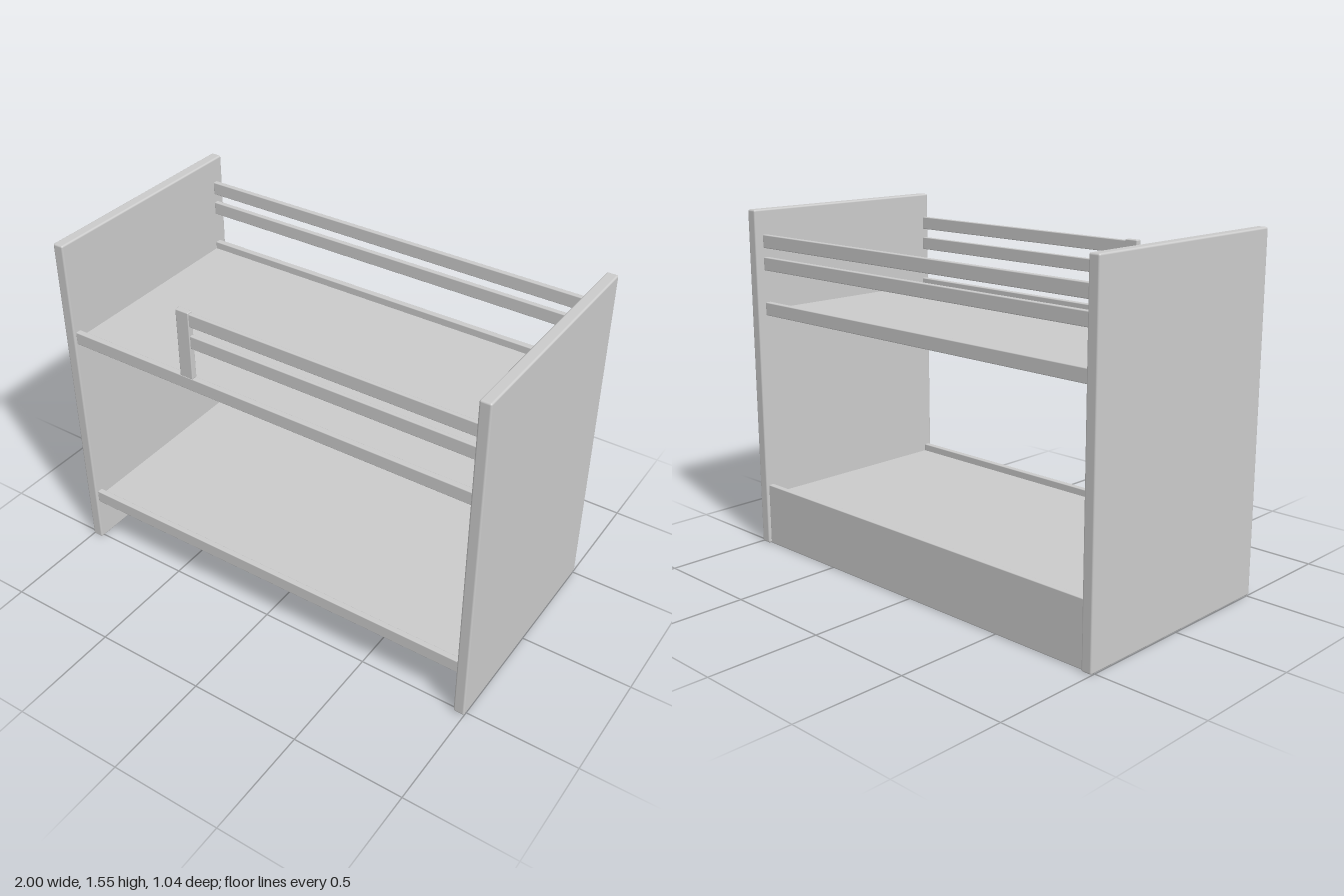
import * as THREE from 'three';
import { RoundedBoxGeometry } from 'three/addons/geometries/RoundedBoxGeometry.js';

const material = new THREE.MeshStandardMaterial({ color: 0xcccccc });

// A board with slightly eased edges, given by its extents on each axis
function board(name, [x0, x1], [y0, y1], [z0, z1], radius = 0.004) {
  const geometry = new RoundedBoxGeometry(x1 - x0, y1 - y0, z1 - z0, 2, radius);
  const mesh = new THREE.Mesh(geometry, material);
  mesh.name = name;
  mesh.position.set((x0 + x1) / 2, (y0 + y1) / 2, (z0 + z1) / 2);
  return mesh;
}

export function createModel() {
  const bed = new THREE.Group();
  bed.name = 'bunkBed';
  const span = [-0.952, 0.952];

  // Full-height end panels
  bed.add(board('rightEndPanel', [-1, -0.95], [0, 1.55], [-0.52, 0.52], 0.008));
  bed.add(board('leftEndPanel', [0.95, 1], [0, 1.55], [-0.52, 0.52], 0.008));

  // Lower bunk: front rail, tall back board down to the floor, deck
  bed.add(board('lowerFrontRail', span, [0.21, 0.27], [0.48, 0.507]));
  bed.add(board('lowerBackBoard', span, [0, 0.283], [-0.507, -0.48]));
  bed.add(board('lowerDeck', span, [0.215, 0.237], [-0.482, 0.482], 0.002));

  // Upper bunk: side rails and deck
  bed.add(board('upperFrontRail', span, [1.077, 1.136], [0.48, 0.507]));
  bed.add(board('upperBackRail', span, [1.077, 1.136], [-0.48, -0.452]));
  bed.add(board('upperDeck', span, [1.082, 1.102], [-0.455, 0.482], 0.002));

  // Guard rails: full width at the back, stopping at the post in front
  for (const y of [1.28, 1.38]) {
    bed.add(board('backGuardRail', span, [y, y + 0.059], [-0.48, -0.457]));
    bed.add(board('frontGuardRail', [-0.325, 0.952], [y, y + 0.059], [0.485, 0.503]));
  }
  bed.add(board('guardPost', [-0.385, -0.322], [1.135, 1.445], [0.48, 0.507]));

  return bed;
}
